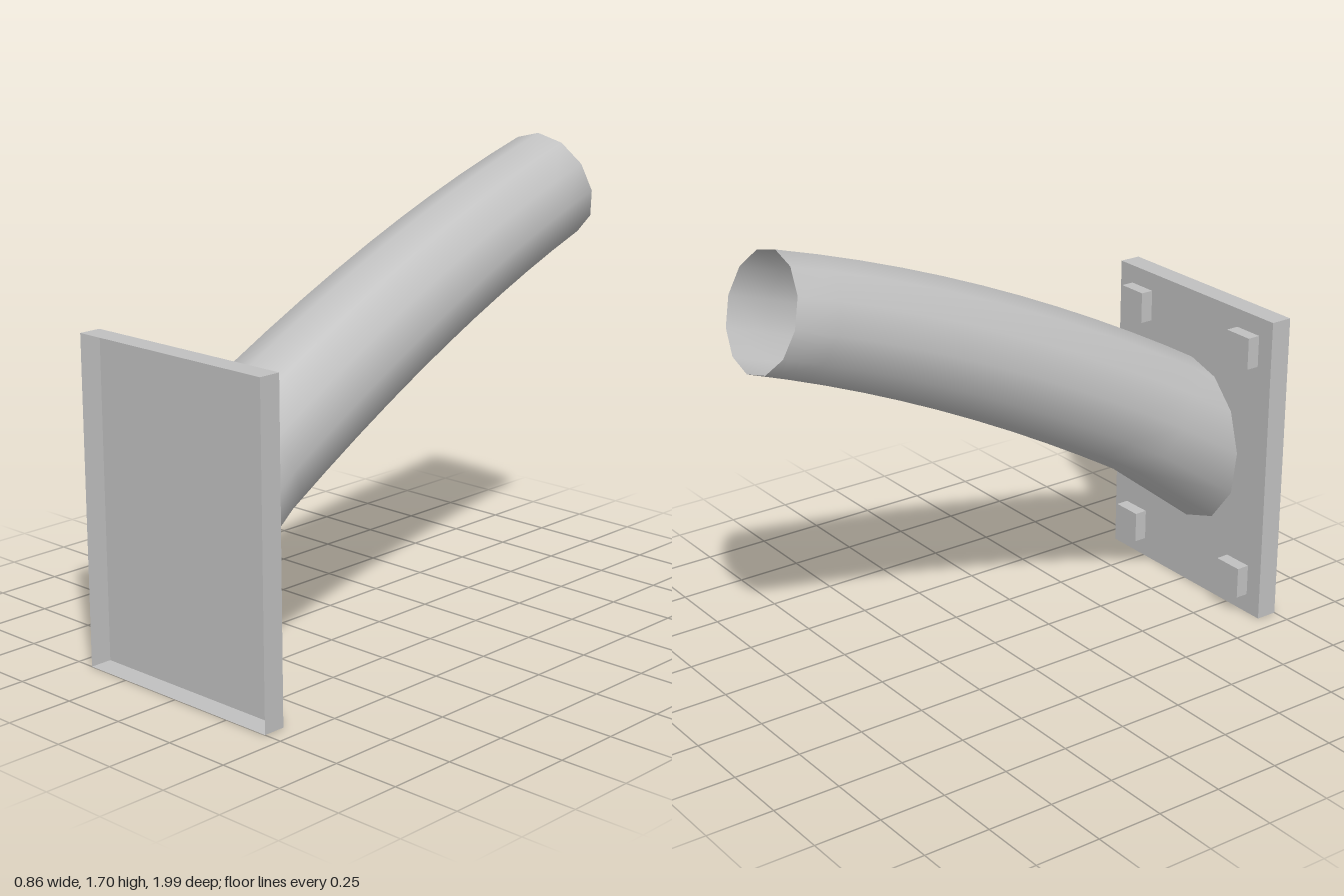
import * as THREE from 'three';

const SIDES = 12;
const BACK_Z = 0.917; // rear face of the wall plate

export function createModel() {
  const model = new THREE.Group();
  model.name = 'wallMountedPipe';
  const metal = new THREE.MeshStandardMaterial({ color: 0xc0c0c0 });
  metal.name = 'grey metal';
  const sheet = new THREE.MeshStandardMaterial({ color: 0xc0c0c0, side: THREE.DoubleSide });
  sheet.name = 'grey sheet metal';
  const add = (name, geometry, material) => {
    const mesh = new THREE.Mesh(geometry, material);
    mesh.name = name;
    model.add(mesh);
    return mesh;
  };

  // Wall plate: a shallow tray, open at the front (+z side removed)
  const plate = new THREE.BoxGeometry(0.86, 1.19, 1 - BACK_Z);
  const index = Array.from(plate.index.array);
  index.splice(24, 6);
  plate.setIndex(index);
  plate.clearGroups();
  add('wallPlate', plate, sheet).position.set(0, 0.595, (1 + BACK_Z) / 2);

  // Four square bolts behind the plate
  for (const x of [-0.302, 0.302]) {
    for (const y of [0.135, 1.06]) {
      add('bolt', new THREE.BoxGeometry(0.118, 0.12, 0.05), metal).position.set(x, y, BACK_Z - 0.025);
    }
  }

  // Flared base outline, top to bottom on one side, mirrored for the other
  const half = [[0, 0.927], [0.13, 0.887], [0.229, 0.78], [0.272, 0.624], [0.248, 0.455], [0.146, 0.32], [0, 0.272]];
  const base = [];
  for (let i = 0; i < SIDES; i++) {
    const [x, y] = half[i <= 6 ? i : SIDES - i];
    base.push(new THREE.Vector3(i <= 6 ? x : -x, y, BACK_Z));
  }

  // Pipe rings: base outline, then tapering circles along a gentle arc
  const path = new THREE.QuadraticBezierCurve3(
    new THREE.Vector3(0, 0.78, 0.67),
    new THREE.Vector3(0, 1.262, -0.165),
    new THREE.Vector3(0, 1.5, -0.932)
  );
  const rings = [base];
  const STEPS = 10;
  for (let s = 0; s <= STEPS; s++) {
    const t = s / STEPS;
    const centre = path.getPoint(t);
    const tangent = path.getTangent(t);
    const up = new THREE.Vector3(0, -tangent.z, tangent.y);
    const r = THREE.MathUtils.lerp(0.25, 0.21, t);
    const ring = [];
    for (let i = 0; i < SIDES; i++) {
      const a = (i / SIDES) * Math.PI * 2;
      const p = centre.clone().addScaledVector(up, r * Math.cos(a));
      p.x += r * Math.sin(a);
      ring.push(p);
    }
    rings.push(ring);
  }
  const faces = [];
  for (let s = 0; s < rings.length - 1; s++) {
    for (let i = 0; i < SIDES; i++) {
      const j = (i + 1) % SIDES;
      const a = s * SIDES + i, b = s * SIDES + j;
      faces.push(a, b, a + SIDES, b, b + SIDES, a + SIDES);
    }
  }
  const pipe = new THREE.BufferGeometry().setFromPoints(rings.flat());
  pipe.setIndex(faces);
  pipe.computeVertexNormals();
  add('pipe', pipe, sheet);

  // Cap closing the pipe at the plate, with normals pointing into the pipe
  const cap = new THREE.ShapeGeometry(new THREE.Shape(base.map((p) => new THREE.Vector2(p.x, p.y))));
  const normals = cap.attributes.normal;
  for (let i = 0; i < normals.count; i++) normals.setXYZ(i, 0, 0, -1);
  add('pipeCap', cap, metal).position.z = BACK_Z + 0.002;

  return model;
}
